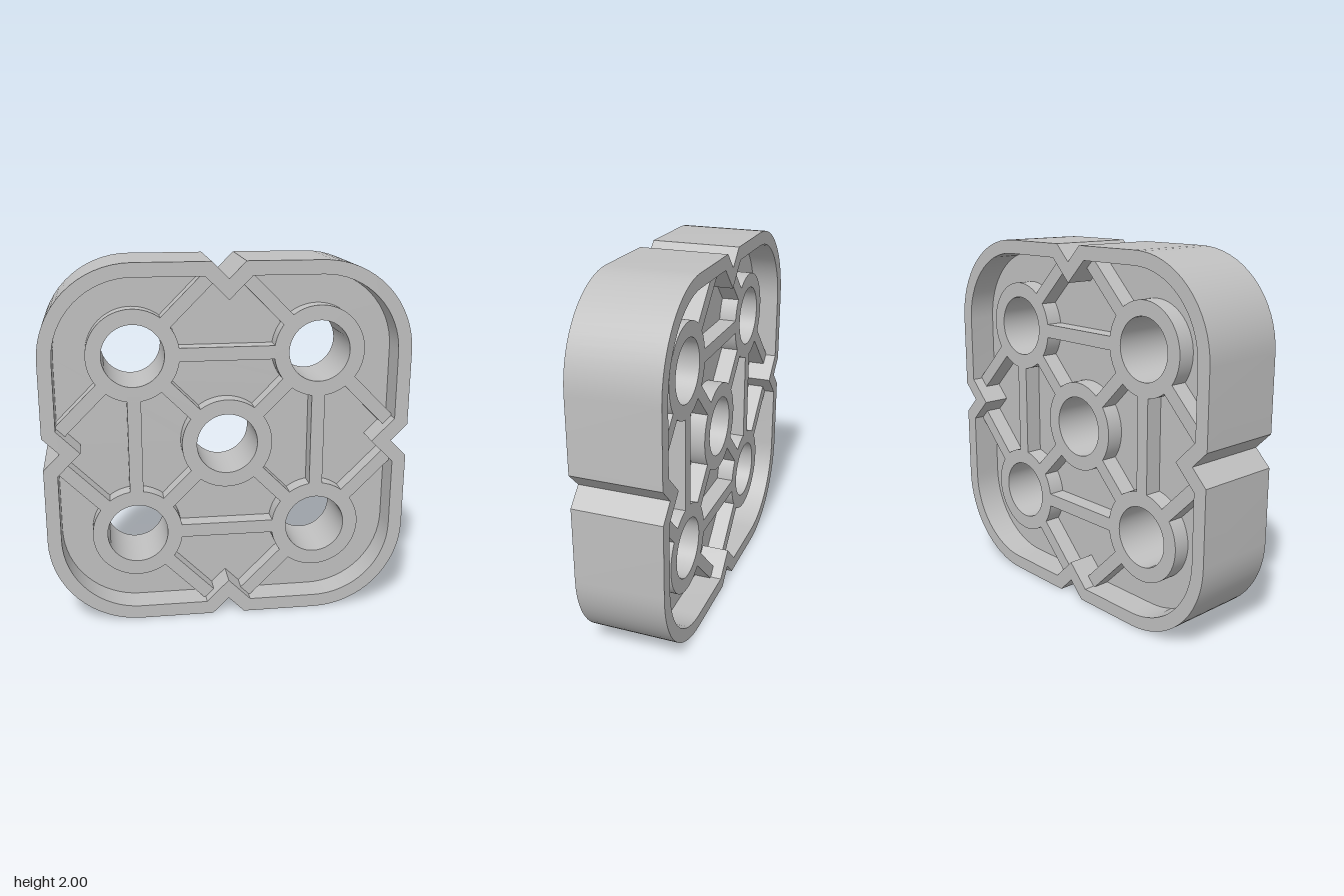
import * as THREE from 'three';
import { toCreasedNormals } from 'three/addons/utils/BufferGeometryUtils.js';

const HALF_DEPTH = 0.243; // rim
const RIB_DEPTH = 0.18;   // bosses and ribs
const WEB_DEPTH = 0.085;  // plate in the middle
const C = 0.505;          // corner boss offset
const BOSS_R = 0.25, HOLE_R = 0.168, RIB_W = 0.074;

// Rounded square with a V notch in the middle of every side
function outline(half, notchHalf, notchTip) {
  const points = [];
  const r = half - 0.5;
  for (let k = 0; k < 4; k++) {
    const side = [[half, -notchHalf], [notchTip, 0], [half, notchHalf]];
    for (let i = 0; i <= 16; i++) {
      const a = (i / 16) * Math.PI / 2;
      side.push([0.5 + r * Math.cos(a), 0.5 + r * Math.sin(a)]);
    }
    for (const [x, y] of side) {
      points.push(new THREE.Vector2(x, y).rotateAround(new THREE.Vector2(), k * Math.PI / 2));
    }
  }
  return points;
}

function circle(PathType, x, y, r) {
  const path = new PathType();
  path.absarc(x, y, r, 0, Math.PI * 2, false);
  return path;
}

// Extrude evenly to both sides of z = 0
function slab(shape, halfDepth) {
  const geo = new THREE.ExtrudeGeometry(shape, { depth: halfDepth * 2, bevelEnabled: false, curveSegments: 48 });
  geo.translate(0, 0, -halfDepth);
  return toCreasedNormals(geo, 0.5);
}

export function createModel() {
  const model = new THREE.Group();
  const block = new THREE.Group();
  block.name = 'notchedBlock';
  block.position.y = 1;
  model.add(block);

  const grey = new THREE.MeshStandardMaterial({ color: 0xc0c0c0 });
  grey.name = 'light grey';

  const add = (name, geometry) => {
    const mesh = new THREE.Mesh(geometry, grey);
    mesh.name = name;
    block.add(mesh);
    return mesh;
  };

  // Straight rib between two points, shortened at each end
  const rib = (name, a, b, trimA, trimB) => {
    const dx = b[0] - a[0], dy = b[1] - a[1];
    const full = Math.hypot(dx, dy);
    const length = full - trimA - trimB;
    const t = (trimA + length / 2) / full;
    const mesh = add(name, new THREE.BoxGeometry(length, RIB_W, RIB_DEPTH * 2));
    mesh.position.set(a[0] + dx * t, a[1] + dy * t, 0);
    mesh.rotation.z = Math.atan2(dy, dx);
  };

  // Outer rim wall
  const rim = new THREE.Shape(outline(1, 0.09, 0.91));
  rim.holes.push(new THREE.Path(outline(0.925, 0.125, 0.8)));
  add('rim', slab(rim, HALF_DEPTH));

  // Middle plate, its edge buried inside the rim
  const corners = [[C, C], [-C, C], [-C, -C], [C, -C]];
  const centres = [[0, 0], ...corners];
  const web = new THREE.Shape(outline(0.95, 0.11, 0.84));
  for (const [x, y] of centres) web.holes.push(circle(THREE.Path, x, y, 0.21));
  add('web', slab(web, WEB_DEPTH));

  // Tubular bosses
  centres.forEach(([x, y], i) => {
    const ring = circle(THREE.Shape, x, y, BOSS_R);
    ring.holes.push(circle(THREE.Path, x, y, HOLE_R));
    add(i ? 'cornerBoss' : 'centreBoss', slab(ring, RIB_DEPTH));
  });

  // Ribs: diagonal to the centre, straight between corners, diagonal to the notches
  const trim = 0.22;
  corners.forEach((corner, i) => {
    const [x, y] = corner;
    const sx = Math.sign(x), sy = Math.sign(y);
    rib('centreRib', [0, 0], corner, trim, trim);
    rib('sideRib', corner, corners[(i + 1) % 4], trim, trim);
    rib('notchRib', corner, [sx * 0.08, sy * 0.93], trim, 0);
    rib('notchRib', corner, [sx * 0.93, sy * 0.08], trim, 0);
  });

  return model;
}
